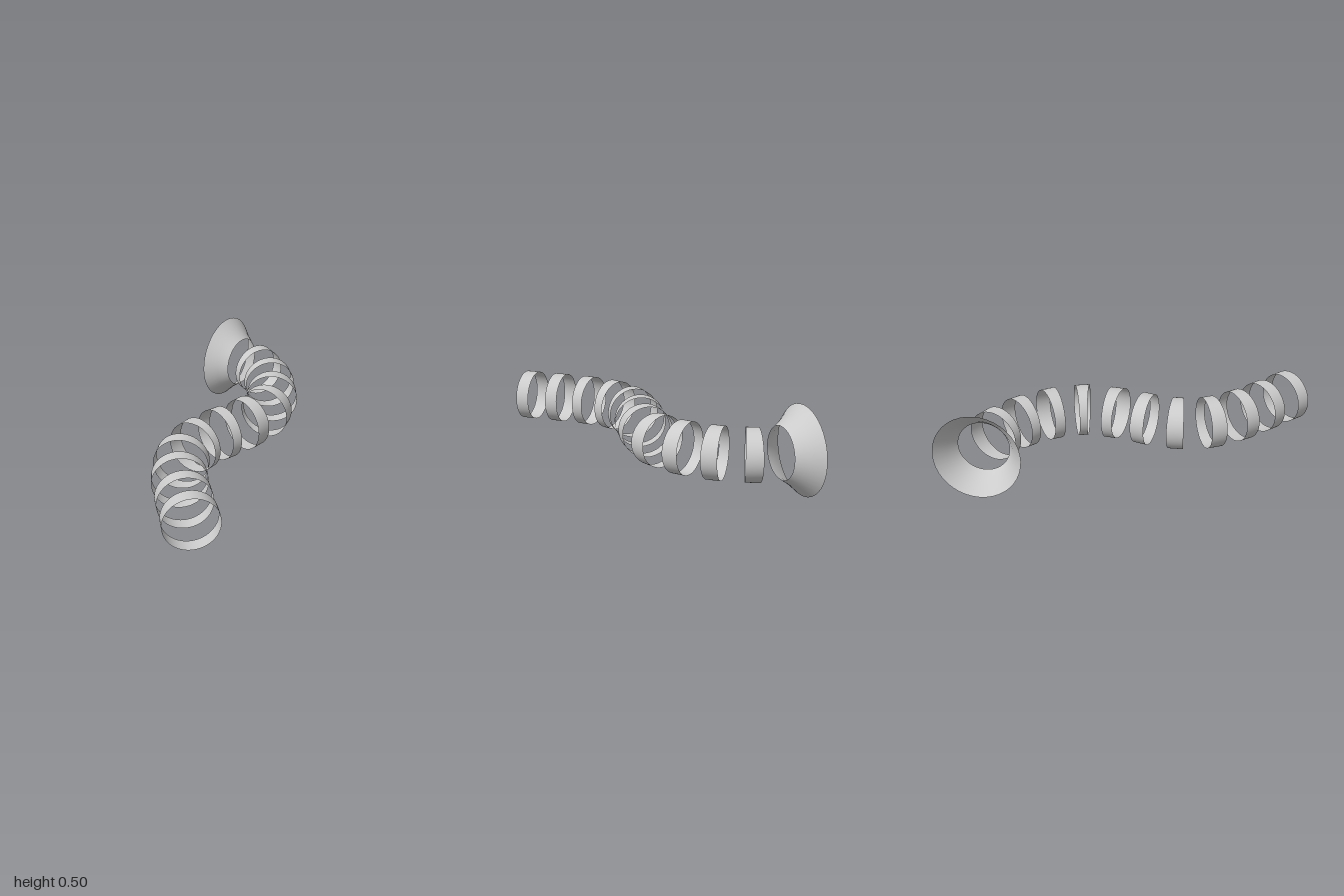
import * as THREE from 'three';

const CENTRE_Y = 0.248;
const RADIUS = 0.144;

// Each ring: front rim [left x, z, right x, z], then back rim [left x, z, right x, z]
const RINGS = [
  [[-0.49, 1.0, -0.2, 1.0], [-0.488, 0.92, -0.2, 0.922]],
  [[-0.49, 0.81, -0.203, 0.81], [-0.49, 0.732, -0.203, 0.736]],
  [[-0.49, 0.61, -0.2, 0.632], [-0.48, 0.526, -0.195, 0.57]],
  [[-0.455, 0.4, -0.178, 0.478], [-0.425, 0.315, -0.16, 0.425]],
  [[-0.335, 0.182, -0.12, 0.368], [-0.267, 0.115, -0.087, 0.34]],
  [[-0.16, 0.04, -0.008, 0.283], [-0.087, 0.003, 0.045, 0.257]],
  [[0.008, -0.05, 0.15, 0.198], [0.056, -0.087, 0.22, 0.145]],
  [[0.12, -0.135, 0.34, 0.05], [0.14, -0.172, 0.39, -0.034]],
  [[0.172, -0.246, 0.452, -0.16], [0.188, -0.304, 0.468, -0.246]],
  [[0.2, -0.394, 0.487, -0.378], [0.2, -0.452, 0.487, -0.468]],
  [[0.188, -0.532, 0.463, -0.61], [0.172, -0.58, 0.437, -0.7]],
];

// Open band lofted through upright elliptical rims, given front to back
function loftRims(rims, radii, sides) {
  const positions = [];
  const indices = [];
  rims.forEach(([lx, lz, rx, rz], j) => {
    for (let i = 0; i < sides; i++) {
      const t = (i / sides) * Math.PI * 2;
      const c = Math.cos(t) / 2;
      positions.push(
        (lx + rx) / 2 + (rx - lx) * c,
        CENTRE_Y + radii[j] * Math.sin(t),
        (lz + rz) / 2 + (rz - lz) * c
      );
      if (j === 0) continue;
      const n = (i + 1) % sides;
      const front = (j - 1) * sides;
      const back = j * sides;
      indices.push(back + i, back + n, front + i, back + n, front + n, front + i);
    }
  });
  const geometry = new THREE.BufferGeometry();
  geometry.setAttribute('position', new THREE.Float32BufferAttribute(positions, 3));
  geometry.setIndex(indices);
  geometry.computeVertexNormals();
  return geometry;
}

export function createModel() {
  const model = new THREE.Group();
  model.name = 'ringTunnel';
  const material = new THREE.MeshStandardMaterial({ color: 0xcccccc, side: THREE.DoubleSide });

  // Thin wedge-shaped rings following the S-bend
  RINGS.forEach((rims, i) => {
    const ring = new THREE.Mesh(loftRims(rims, [RADIUS, RADIUS], 64), material);
    ring.name = `ring${i + 1}`;
    model.add(ring);
  });

  // Flared mouth at the back end
  const funnel = new THREE.Mesh(
    loftRims(
      [
        [0.135, -0.64, 0.345, -0.835],
        [0.071, -0.658, 0.337, -0.915],
        [-0.012, -0.665, 0.335, -1.0],
      ],
      [RADIUS, 0.188, 0.248],
      40
    ),
    material
  );
  funnel.name = 'funnel';
  model.add(funnel);

  return model;
}
